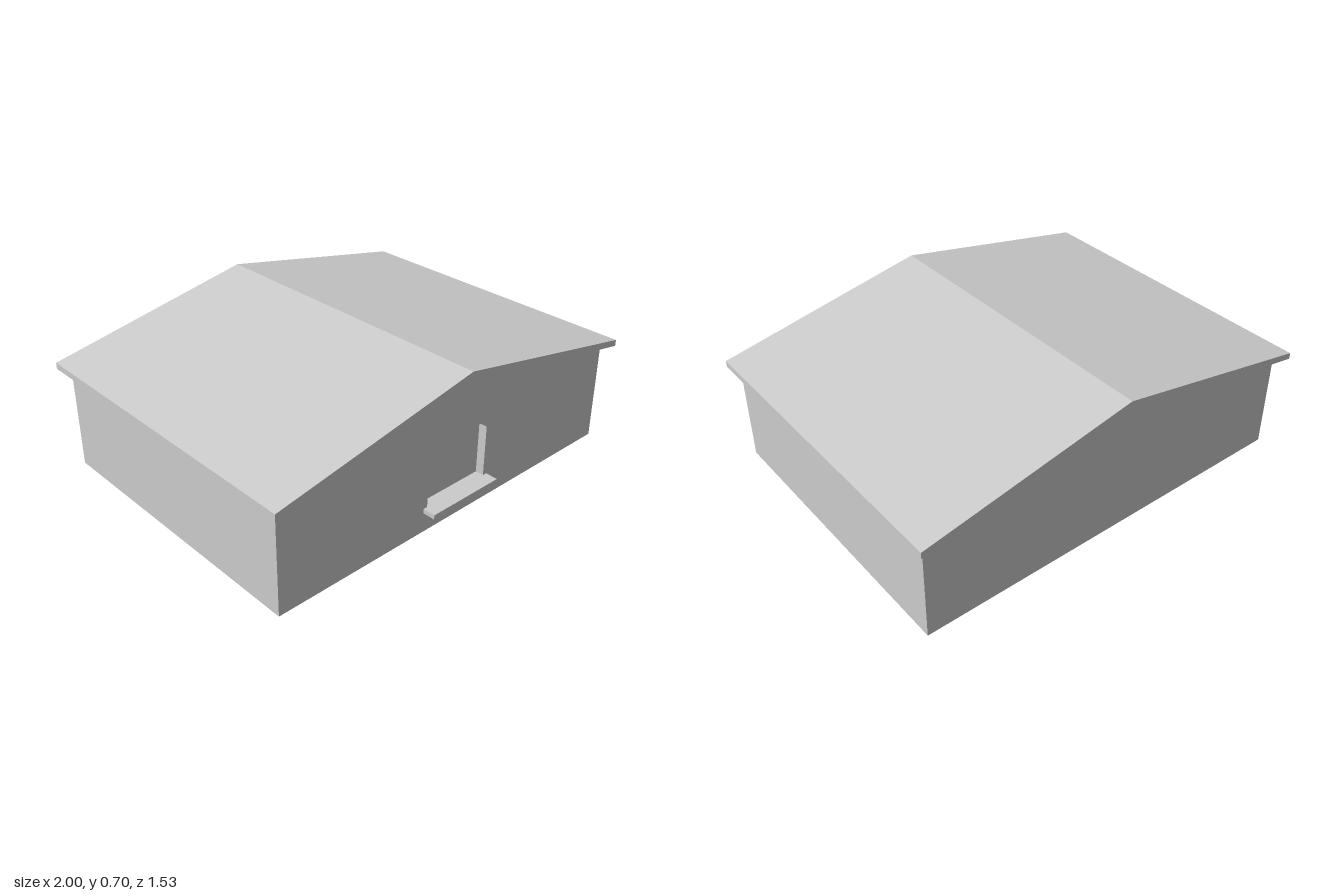
import * as THREE from 'three';

const material = new THREE.MeshStandardMaterial({ color: 0xcccccc, flatShading: true });

// Closed outline from [x, y] corners
const outline = (points) => new THREE.Shape(points.map(([x, y]) => new THREE.Vector2(x, y)));

// Extrude an outline between two z positions
function slab(name, shape, zBack, zFront) {
  const geometry = new THREE.ExtrudeGeometry(shape, {
    depth: zFront - zBack, bevelEnabled: false, curveSegments: 24,
  });
  geometry.translate(0, 0, zBack);
  const mesh = new THREE.Mesh(geometry, material);
  mesh.name = name;
  return mesh;
}

export function createModel() {
  const group = new THREE.Group();
  group.name = 'house';

  const wallX = 0.96, wallBack = -0.705, wallFront = 0.703, recess = 0.04;
  const ridgeUnder = 0.655, eaveUnder = 0.478;
  const wallTop = ridgeUnder - (ridgeUnder - eaveUnder) * wallX;
  const gable = () => outline([
    [-wallX, 0], [wallX, 0], [wallX, wallTop], [0, ridgeUnder], [-wallX, wallTop],
  ]);

  // Main body, with a thin front wall holding the arched niche
  group.add(slab('body', gable(), wallBack, wallFront - recess));

  const half = 0.174, sillTop = 0.115, spring = 0.358, rise = 0.064;
  const radius = (half * half + rise * rise) / (2 * rise);
  const angle = Math.asin(half / radius);
  const niche = new THREE.Path();
  niche.moveTo(-half, sillTop);
  niche.lineTo(half, sillTop);
  niche.lineTo(half, spring);
  niche.absarc(0, spring + rise - radius, radius, Math.PI / 2 - angle, Math.PI / 2 + angle, false);
  niche.lineTo(-half, sillTop);
  const front = gable();
  front.holes.push(niche);
  group.add(slab('frontWall', front, wallFront - recess, wallFront));

  // Sill below the niche
  const sill = new THREE.Mesh(new THREE.BoxGeometry(0.39, 0.021, 0.06), material);
  sill.name = 'windowSill';
  sill.position.set(0, sillTop - 0.0105, wallFront + 0.03);
  group.add(sill);

  // Shallow pitched roof with overhanging eaves
  const roof = outline([
    [-1, eaveUnder], [0, ridgeUnder], [1, eaveUnder], [1, 0.508], [0, 0.7], [-1, 0.508],
  ]);
  group.add(slab('roof', roof, -0.762, 0.755));

  return group;
}
